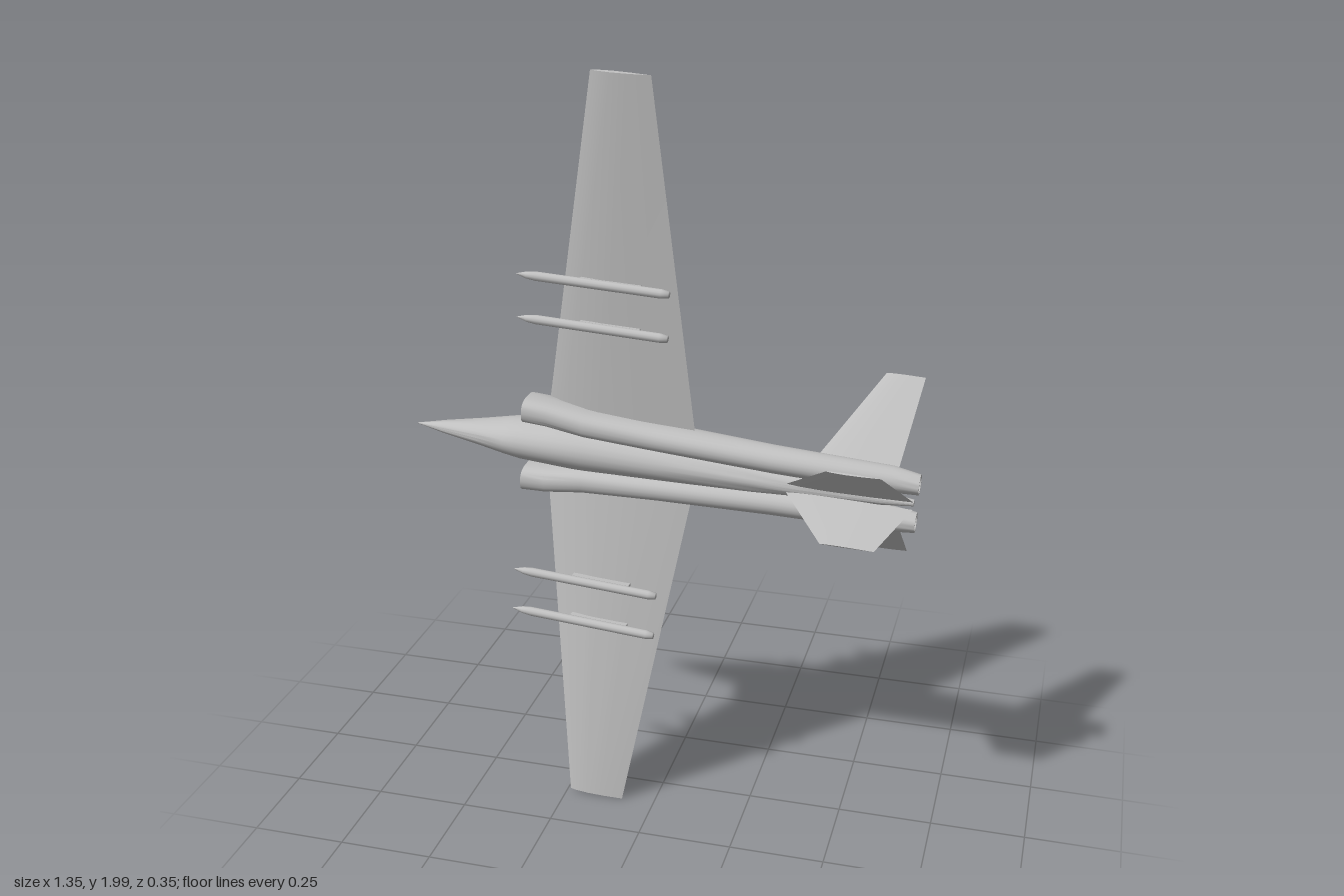
import * as THREE from 'three';
import { toCreasedNormals } from 'three/addons/utils/BufferGeometryUtils.js';

// Skin a list of closed rings (arrays of [x, y, z]) and cap both ends.
function loft(rings, crease = 0.6) {
  const n = rings[0].length, pos = [], idx = [];
  rings.forEach(r => r.forEach(p => pos.push(...p)));
  for (let i = 0; i < rings.length - 1; i++) {
    for (let j = 0; j < n; j++) {
      const a = i * n + j, b = i * n + (j + 1) % n;
      idx.push(a, b, b + n, a, b + n, a + n);
    }
  }
  [0, rings.length - 1].forEach((i, end) => {
    const c = pos.length / 3;
    pos.push(...[0, 1, 2].map(k => rings[i].reduce((s, p) => s + p[k], 0) / n));
    for (let j = 0; j < n; j++) {
      const a = i * n + j, b = i * n + (j + 1) % n;
      if (end) idx.push(c, a, b); else idx.push(c, b, a);
    }
  });
  const g = new THREE.BufferGeometry();
  g.setAttribute('position', new THREE.Float32BufferAttribute(pos, 3));
  g.setIndex(idx);
  return toCreasedNormals(g, crease);
}

// Rounded cross-section at x; power below 1 squares the corners.
function oval(x, yc, zc, w, h, power = 1, n = 24) {
  const f = v => Math.sign(v) * Math.abs(v) ** power;
  return Array.from({ length: n }, (_, i) => {
    const a = i / n * Math.PI * 2;
    return [x, yc + w * f(Math.cos(a)), zc + h * f(Math.sin(a))];
  });
}

// Aerofoil section rings; each section is [leading point, trailing point, half thickness].
function blade(sections) {
  const first = sections[0][0], last = sections[sections.length - 1][0];
  const dy = last[1] - first[1], dz = last[2] - first[2], len = Math.hypot(dy, dz);
  const outline = [[1, 0], [0.65, 0.75], [0.35, 1], [0.1, 0.6], [0, 0], [0.1, -0.6], [0.35, -1], [0.65, -0.75]];
  return sections.map(([le, te, t]) => outline.map(([f, s]) => [
    le[0] + (te[0] - le[0]) * f,
    le[1] + (te[1] - le[1]) * f + s * t * dz / len,
    le[2] + (te[2] - le[2]) * f - s * t * dy / len,
  ]));
}

const mirror = rings => rings.map(r => r.map(([x, y, z]) => [x, -y, z]).reverse());

export function createModel() {
  const grey = new THREE.MeshStandardMaterial({ color: 0xc0c0c0 });
  grey.name = 'airframe grey';
  const model = new THREE.Group();
  model.name = 'aircraft';

  // Airframe lies on its side, wings along y, and is turned slightly
  const frame = new THREE.Group();
  frame.name = 'airframe';
  frame.rotation.z = -0.045;
  frame.position.y = 1;
  model.add(frame);

  const add = (name, geometry) => {
    const m = new THREE.Mesh(geometry, grey);
    m.name = name;
    frame.add(m);
    return m;
  };
  const addPair = (name, rings) => {
    add(name + 'Upper', loft(rings));
    add(name + 'Lower', loft(mirror(rings)));
  };

  // Fuselage: x, half width, back z, belly z
  const body = [
    [-0.68, 0.001, 0.009, 0.011], [-0.6, 0.017, -0.018, 0.033], [-0.5, 0.033, -0.05, 0.055],
    [-0.42, 0.048, -0.075, 0.073], [-0.38, 0.054, -0.078, 0.078], [-0.2, 0.062, -0.068, 0.085],
    [0, 0.053, -0.045, 0.088], [0.25, 0.04, -0.008, 0.088], [0.4, 0.028, 0.012, 0.086],
    [0.58, 0.016, 0.035, 0.082], [0.66, 0.008, 0.05, 0.072],
  ];
  add('fuselage', loft(body.map(([x, w, z0, z1]) => oval(x, 0, (z0 + z1) / 2, w, (z1 - z0) / 2))));

  // Engine ducts with hollow intakes and nozzles: x, y, z, half width, half height, squareness
  const duct = [
    [-0.29, 0.09, 0.022, 0.022, 0.045, 0.7], [-0.365, 0.095, 0.022, 0.028, 0.051, 0.7],
    [-0.365, 0.095, 0.022, 0.033, 0.056, 0.7], [-0.3, 0.092, 0.024, 0.034, 0.056, 0.75],
    [-0.2, 0.078, 0.028, 0.034, 0.055, 0.8], [0, 0.068, 0.034, 0.034, 0.053, 0.9],
    [0.3, 0.057, 0.046, 0.035, 0.044, 1], [0.6, 0.053, 0.055, 0.033, 0.037, 1],
    [0.67, 0.051, 0.063, 0.026, 0.028, 1], [0.67, 0.051, 0.063, 0.021, 0.023, 1],
    [0.6, 0.051, 0.06, 0.018, 0.02, 1],
  ];
  addPair('engine', duct.map(s => oval(...s)));

  // Drooping tapered wings
  addPair('wing', blade([
    [[-0.32, 0.05, -0.008], [0.095, 0.05, 0.03], 0.02],
    [[-0.195, 0.993, 0.103], [-0.045, 0.993, 0.107], 0.008],
  ]));

  // Four tail fins in a cross
  addPair('backFin', blade([
    [[0.38, 0.035, 0.035], [0.605, 0.035, 0.035], 0.004],
    [[0.535, 0.245, -0.178], [0.635, 0.245, -0.178], 0.0025],
  ]));
  addPair('bellyFin', blade([
    [[0.34, 0.01, 0.082], [0.66, 0.01, 0.082], 0.004],
    [[0.45, 0.097, 0.172], [0.585, 0.097, 0.172], 0.0025],
  ]));

  // Missiles slung under the wings on short pylons
  const profile = [[0, -0.2], [0.009, -0.2], [0.012, -0.18], [0.012, 0.15], [0.009, 0.175], [0, 0.205]];
  const missile = new THREE.LatheGeometry(profile.map(p => new THREE.Vector2(...p)), 12);
  missile.rotateZ(Math.PI / 2);
  for (const side of [1, -1]) {
    for (const [y, z] of [[0.355, 0.086], [0.47, 0.092]]) {
      const m = add('missile', missile);
      m.position.set(-0.178, side * y, z);
      m.rotation.y = -0.06;
      const p = add('pylon', new THREE.BoxGeometry(0.16, 0.008, 0.03));
      p.position.set(-0.14, side * y, z - 0.018);
      p.rotation.y = -0.06;
    }
  }
  return model;
}
